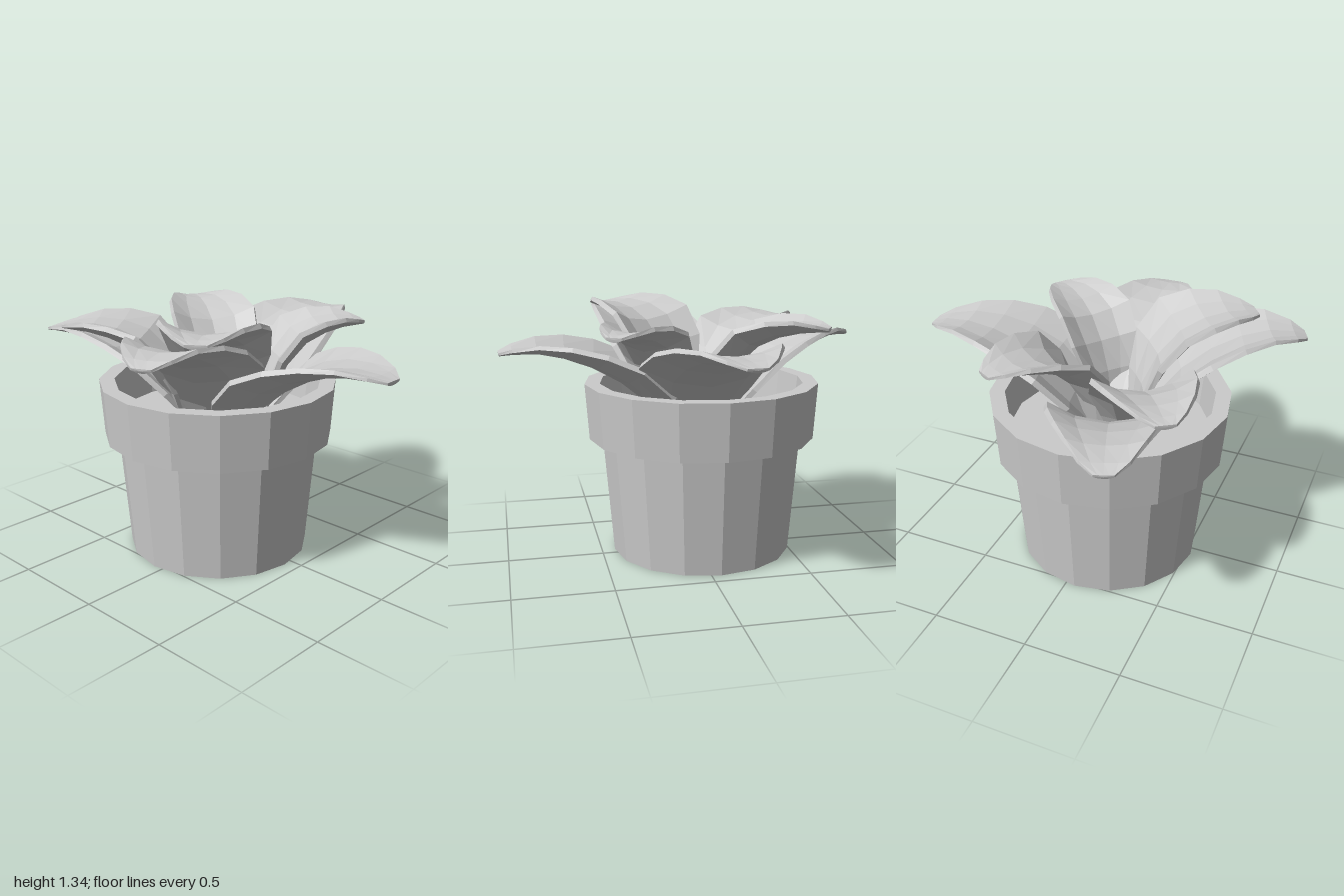
import * as THREE from 'three';

const material = new THREE.MeshStandardMaterial({ color: 0xcccccc, flatShading: true, side: THREE.DoubleSide });

// Leaf stations: distance along the leaf, rise from base to tip, half-width factor, cupping factor
const OUTER = {
  along: [0, 0.17, 0.33, 0.49, 0.65, 0.8, 0.93, 1],
  rise: [0, 0.42, 0.7, 0.88, 0.99, 1.04, 1.03, 1],
  wide: [0.4, 0.88, 1.02, 0.95, 0.79, 0.58, 0.36, 0.15],
  cup: [0.4, 0.8, 0.9, 0.7, 0.5, 0.3, 0.1, 0],
};
const INNER = {
  along: [0, 0.07, 0.2, 0.38, 0.57, 0.76, 0.91, 1],
  rise: [0, 0.38, 0.66, 0.87, 0.97, 1.01, 1.01, 1],
  wide: [0.32, 0.68, 0.95, 1.02, 0.92, 0.71, 0.44, 0.2],
  cup: [0.1, 0.3, 0.7, 0.85, 0.6, 0.4, 0.15, 0],
};

// Cupped, arching leaf swept from a base point to a tip point
function makeLeaf(name, style, base, tip, halfWidth, cupDepth) {
  const a = new THREE.Vector3(...base), b = new THREE.Vector3(...tip);
  const centres = style.along.map((u, i) => {
    const p = a.clone().lerp(b, u);
    p.y = a.y + (b.y - a.y) * style.rise[i];
    return p;
  });
  const side = new THREE.Vector3(-(b.z - a.z), 0, b.x - a.x).normalize();
  const steps = [-1, -0.55, 0, 0.55, 1];
  const loop = [...steps.map((s) => [s, 0]), ...[...steps].reverse().map((s) => [s, 1])];
  const n = loop.length, last = centres.length - 1;
  const pos = [], index = [];
  centres.forEach((c, i) => {
    const tangent = centres[Math.min(i + 1, last)].clone().sub(centres[Math.max(i - 1, 0)]).normalize();
    const normal = side.clone().cross(tangent).normalize();
    const thick = 0.35 + 0.65 * style.wide[i];
    for (const [s, under] of loop) {
      // The underside is a little wider, giving a bevelled edge
      const across = s * halfWidth * style.wide[i] * (0.95 + 0.05 * under);
      const lift = cupDepth * style.cup[i] * s * s - under * thick * (0.05 - 0.025 * s * s);
      const p = c.clone().addScaledVector(side, across).addScaledVector(normal, lift);
      pos.push(p.x, p.y, p.z);
    }
  });
  for (let i = 0; i < last; i++) {
    for (let j = 0; j < n; j++) {
      const k = (j + 1) % n, r = i * n, q = r + n;
      index.push(r + j, r + k, q + j, r + k, q + k, q + j);
    }
  }
  // Blunt tip cap
  const end = centres[last];
  pos.push(end.x, end.y - 0.01, end.z);
  for (let j = 0; j < n; j++) index.push((last + 1) * n, last * n + j, last * n + ((j + 1) % n));
  const geometry = new THREE.BufferGeometry();
  geometry.setAttribute('position', new THREE.Float32BufferAttribute(pos, 3));
  geometry.setIndex(index);
  geometry.computeVertexNormals();
  const mesh = new THREE.Mesh(geometry, material);
  mesh.name = name;
  return mesh;
}

export function createModel() {
  const model = new THREE.Group();
  model.name = 'pottedSucculent';

  // Faceted pot with an overhanging rim and hollow top
  const profile = [[0, 0], [0.48, 0], [0.53, 0.625], [0.6, 0.625], [0.62, 0.92], [0.54, 0.92], [0.52, 0.72]];
  const pot = new THREE.Mesh(
    new THREE.LatheGeometry(profile.map(([x, y]) => new THREE.Vector2(x, y)), 16), material);
  pot.name = 'pot';
  pot.position.set(-0.05, 0, 0.05);
  model.add(pot);

  // Soil inside the pot
  const soil = new THREE.Mesh(new THREE.CylinderGeometry(0.52, 0.52, 0.02, 16), material);
  soil.name = 'soil';
  soil.position.set(-0.05, 0.72, 0.05);
  model.add(soil);

  // Lower ring of long leaves, then upper ring of short rounded leaves
  const leaves = new THREE.Group();
  leaves.name = 'leaves';
  leaves.add(
    makeLeaf('outerLeafBack', OUTER, [0.02, 0.64, -0.01], [-0.07, 1.15, -0.95], 0.34, 0.11),
    makeLeaf('outerLeafLeft', OUTER, [0.04, 0.64, 0.03], [1, 1.11, 0.01], 0.33, 0.1),
    makeLeaf('outerLeafRight', OUTER, [-0.1, 0.64, 0.08], [-0.98, 1.11, 0.41], 0.31, 0.1),
    makeLeaf('outerLeafFront', OUTER, [0, 0.6, 0.09], [0.36, 1.23, 0.93], 0.32, 0.1),
    makeLeaf('innerLeafBackLeft', INNER, [0.16, 0.7, -0.03], [0.48, 1.23, -0.47], 0.21, 0.09),
    makeLeaf('innerLeafFrontLeft', INNER, [0.06, 0.7, 0.13], [0.41, 1.29, 0.66], 0.27, 0.1),
    makeLeaf('innerLeafFrontRight', INNER, [-0.12, 0.7, 0.2], [-0.66, 1.2, 0.56], 0.25, 0.1),
    makeLeaf('innerLeafBackRight', INNER, [-0.07, 0.7, -0.02], [-0.62, 1.23, -0.34], 0.23, 0.1),
  );
  model.add(leaves);
  return model;
}
